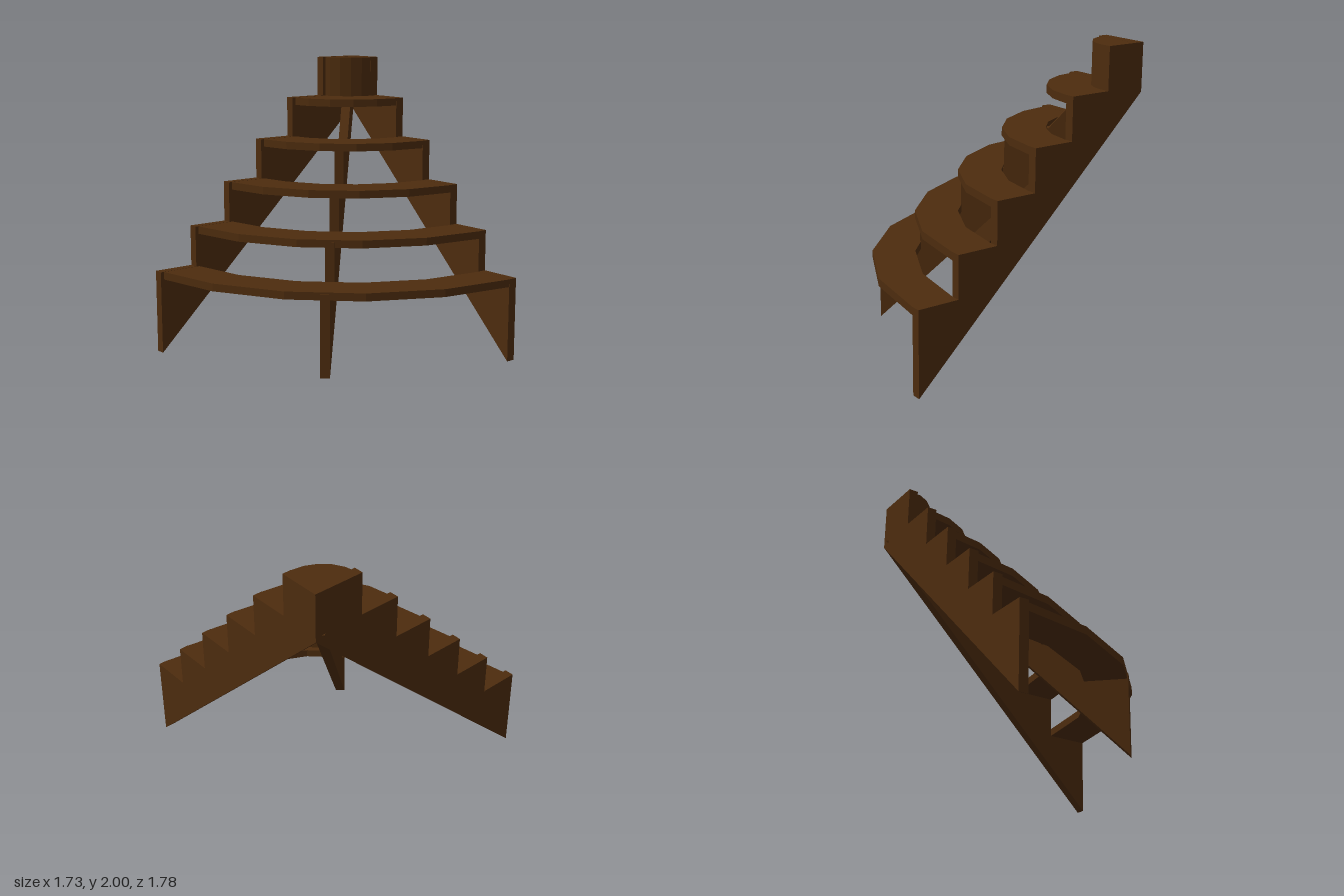
import * as THREE from 'three';

const T = 0.065;                      // board thickness
const CX = -0.82, CZ = -0.83;         // centre of the curved treads
const TOPS = [0.575, 0.86, 1.145, 1.43, 1.715, 2.0];
const X_ENDS = [0.865, 0.577, 0.291, 0.005, -0.281, -0.567];
const Z_ENDS = [0.888, 0.6, 0.313, 0.028, -0.258, -0.543];

const wood = new THREE.MeshStandardMaterial({ color: 0x4d2c0e });
wood.name = 'dark brown wood';

function board(name, points, depth) {
  const shape = new THREE.Shape(points.map(([a, b]) => new THREE.Vector2(a, b)));
  const geometry = new THREE.ExtrudeGeometry(shape, { depth, bevelEnabled: false });
  const mesh = new THREE.Mesh(geometry, wood);
  mesh.name = name;
  return mesh;
}

// Staircase outline with a straight sloping underside
function stepOutline(ends, corner) {
  const points = [[corner, 1.68], [ends[0], 0]];
  ends.forEach((end, i) => {
    points.push([end, TOPS[i]]);
    points.push([i < ends.length - 1 ? ends[i + 1] : corner, TOPS[i]]);
  });
  return points;
}

// Quarter arc of five straight facets, in plan (x, -z)
function arc(i) {
  const rx = X_ENDS[i] - CX, rz = Z_ENDS[i] - 0.02 - CZ;
  return Array.from({ length: 6 }, (_, k) => {
    const a = k * Math.PI / 10;
    return [CX + rx * Math.cos(a), -(CZ + rz * Math.sin(a))];
  });
}

export function createModel() {
  const group = new THREE.Group();
  group.name = 'cornerStepStand';

  // Stepped side panels meeting at the corner
  const backPanel = board('backPanel', stepOutline(X_ENDS, -0.85), T);
  backPanel.position.z = -0.89;
  const sidePanel = board('sidePanel', stepOutline(Z_ENDS, -0.89), T);
  sidePanel.geometry.rotateY(-Math.PI / 2);
  sidePanel.position.x = -0.85 + T;
  group.add(backPanel, sidePanel);

  // Curved treads, each ending where the one above begins
  for (let i = 0; i < 5; i++) {
    const tread = board('tread' + (i + 1), [...arc(i), ...arc(i + 1).reverse()], 0.053);
    tread.geometry.rotateX(-Math.PI / 2);
    tread.position.y = TOPS[i] - 0.054;
    group.add(tread);
  }

  // Quarter-round block at the top
  const block = board('topBlock', [[CX, -CZ], ...arc(5)], 0.335);
  block.geometry.rotateX(-Math.PI / 2);
  block.position.y = 1.664;
  group.add(block);

  // Diagonal stepped brace running out from the corner
  const brace = board('diagonalBrace', [
    [0, 1.71], [1.713, 0], [1.713, 0.56], [1.425, 0.56], [1.425, 0.845], [1.14, 0.845],
    [1.14, 1.13], [0.85, 1.13], [0.85, 1.415], [0.56, 1.415], [0.33, 1.68], [0.3, 1.71],
  ], T);
  brace.geometry.translate(0, 0, -T / 2);
  brace.geometry.rotateY(-Math.atan2(1.22, 1.205));
  brace.position.set(-0.842, 0, -0.858);
  group.add(brace);

  return group;
}
